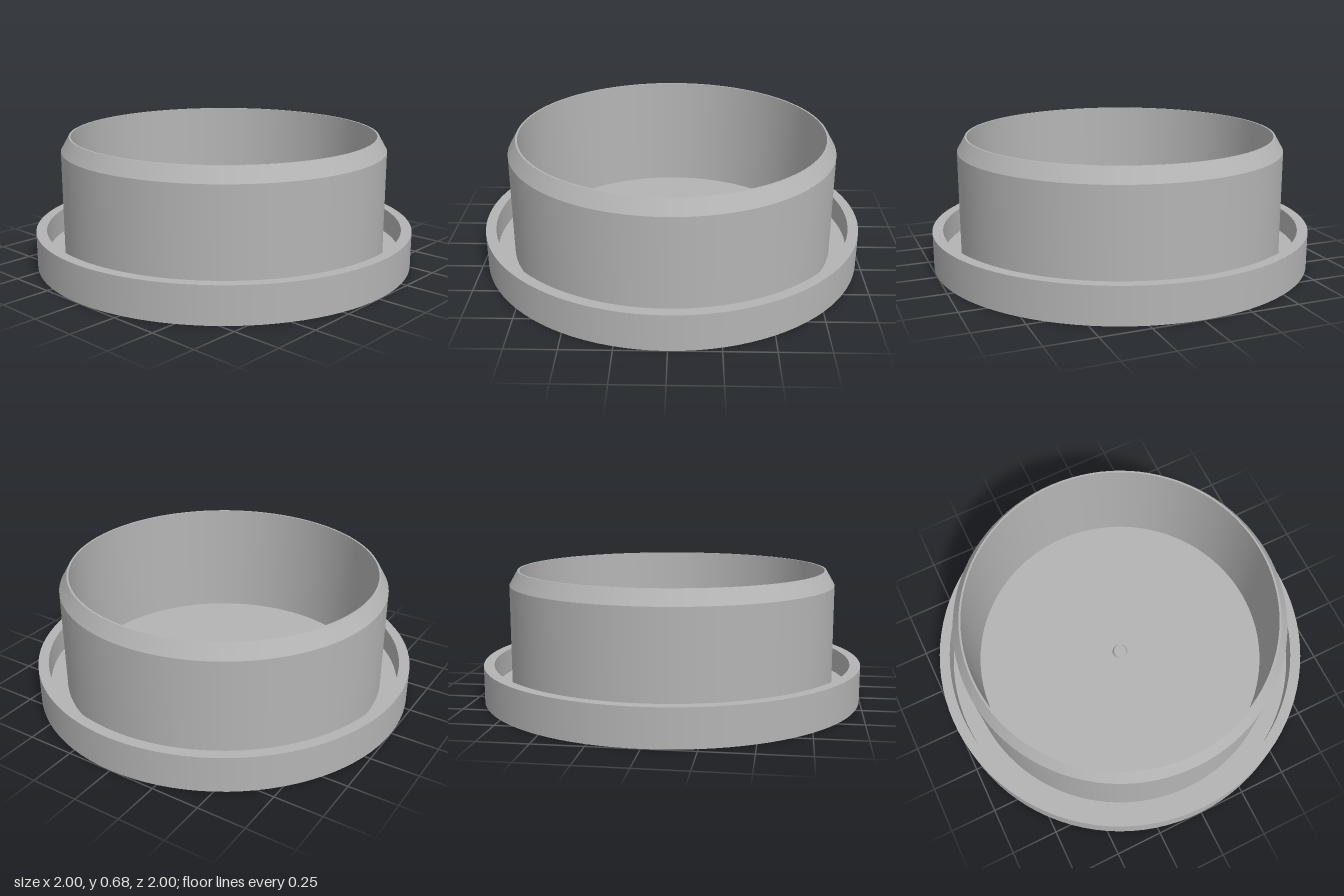
import * as THREE from 'three';
import { mergeGeometries } from 'three/addons/utils/BufferGeometryUtils.js';

const SEGMENTS = 96;

// Revolve each profile segment on its own so every corner stays sharp.
function turned(name, profile, material) {
  const bands = [];
  for (let i = 0; i < profile.length - 1; i++) {
    const pair = [profile[i], profile[i + 1]].map(([r, y]) => new THREE.Vector2(r, y));
    bands.push(new THREE.LatheGeometry(pair, SEGMENTS));
  }
  const mesh = new THREE.Mesh(mergeGeometries(bands), material);
  mesh.name = name;
  return mesh;
}

export function createModel() {
  const group = new THREE.Group();
  group.name = 'flangedCap';

  const grey = new THREE.MeshStandardMaterial({ color: 0xb4b4b4 });
  grey.name = 'grey';

  const floor = 0.06;

  // Base disc with raised outer rim and groove floor
  group.add(turned('baseRim', [
    [0, 0], [1, 0], [1, 0.19], [0.945, 0.19], [0.945, floor], [0.855, floor],
  ], grey));

  // Tall inner collar with chamfered lip and slightly tapered bore
  group.add(turned('collar', [
    [0.855, floor], [0.855, 0.605], [0.812, 0.68], [0.802, 0.68], [0.794, floor],
  ], grey));

  // Floor inside the collar
  group.add(turned('innerFloor', [[0.794, floor], [0.042, floor]], grey));

  // Small raised mark at the centre
  group.add(turned('centreNub', [
    [0.042, floor], [0.034, floor + 0.02], [0, floor + 0.02],
  ], grey));

  return group;
}
